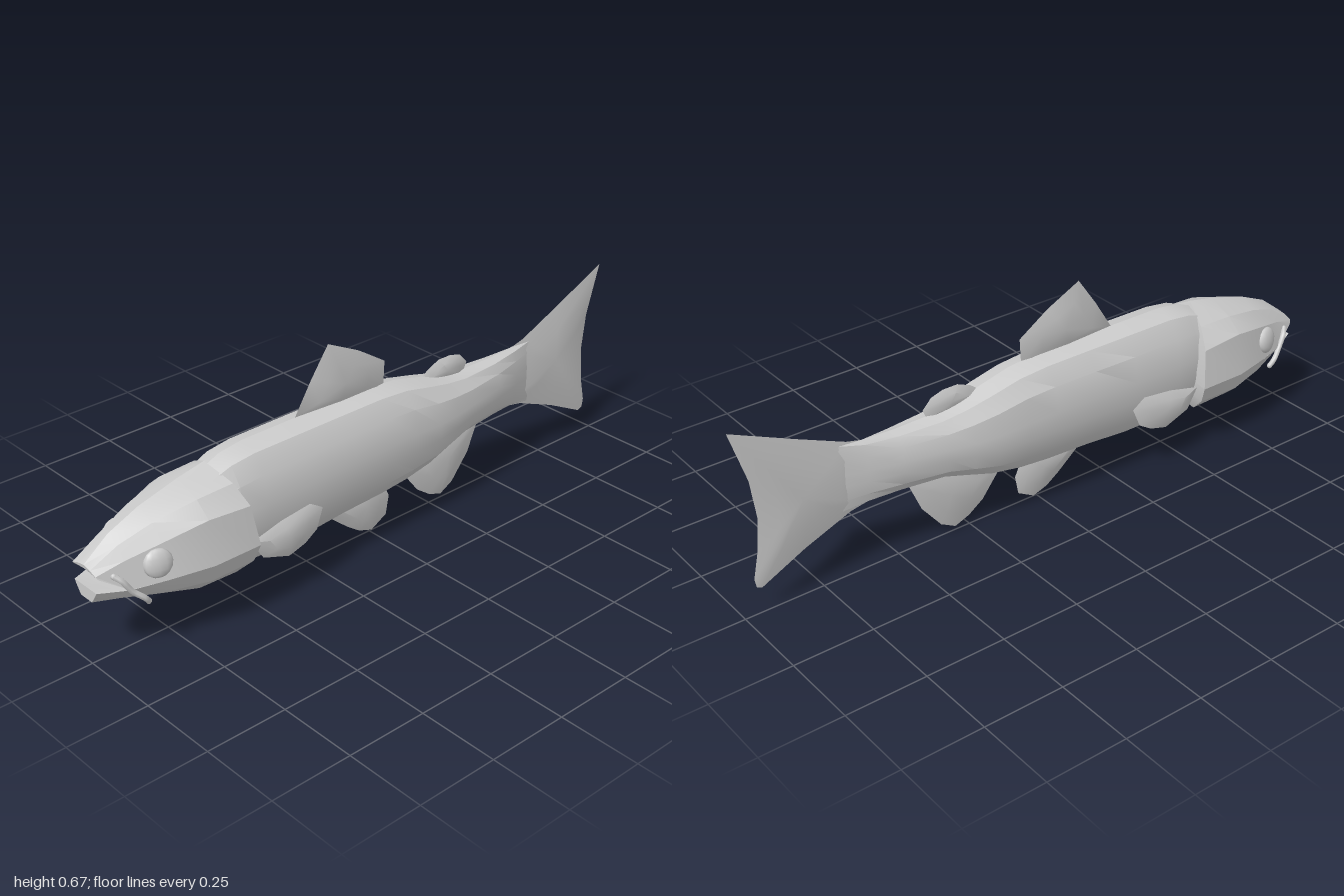
import * as THREE from 'three';
import { toCreasedNormals } from 'three/addons/utils/BufferGeometryUtils.js';

const material = new THREE.MeshStandardMaterial({ color: 0xcccccc });

function part(name, positions, index, crease) {
  const g = new THREE.BufferGeometry();
  g.setAttribute('position', new THREE.Float32BufferAttribute(positions.flat(), 3));
  g.setIndex(index);
  const mesh = new THREE.Mesh(toCreasedNormals(g, crease), material);
  mesh.name = name;
  return mesh;
}

// Closed skin over half rings (top centre -> +x side -> bottom centre), ordered rear to front
function loft(name, halfRings, crease) {
  const rings = halfRings.map(h => [...h, ...h.slice(1, -1).reverse().map(([x, y, z]) => [-x, y, z])]);
  const n = rings[0].length, positions = rings.flat(), index = [];
  for (let r = 0; r < rings.length - 1; r++) {
    for (let i = 0; i < n; i++) {
      const a = r * n + i, b = r * n + (i + 1) % n;
      index.push(a, a + n, b, b, a + n, b + n);
    }
  }
  // End caps
  [0, rings.length - 1].forEach((r, end) => {
    const c = positions.length;
    positions.push([0, 1, 2].map(k => rings[r].reduce((s, p) => s + p[k], 0) / n));
    for (let i = 0; i < n; i++) {
      const a = r * n + i, b = r * n + (i + 1) % n;
      index.push(c, end ? b : a, end ? a : b);
    }
  });
  return part(name, positions, index, crease);
}

// Lens-shaped fin from a [z, y] outline: sharp rim, thicker middle
function fin(name, outline, thick, centre, offset = () => 0) {
  const area = THREE.ShapeUtils.area(outline.map(p => new THREE.Vector2(...p)));
  const pts = area > 0 ? outline : [...outline].reverse();
  const n = pts.length, positions = [], index = [];
  const [cz, cy] = centre;
  for (const side of [1, -1]) {
    const o = positions.length;
    const add = (z, y, t) => positions.push([side * t + offset(y), y, z]);
    pts.forEach(([z, y]) => add(z, y, 0));
    pts.forEach(([z, y]) => add(cz + (z - cz) * 0.55, cy + (y - cy) * 0.55, thick * 0.85));
    add(cz, cy, thick);
    const tri = (a, b, c) => index.push(o + a, o + (side > 0 ? c : b), o + (side > 0 ? b : c));
    for (let i = 0; i < n; i++) {
      const j = (i + 1) % n;
      tri(i, j, n + i);
      tri(j, n + j, n + i);
      tri(2 * n, n + i, n + j);
    }
  }
  return part(name, positions, index, 0.5);
}

export function createModel() {
  const fish = new THREE.Group();
  fish.name = 'fish';

  // Body: [z, bottom, top, half width]
  const section = [[0, 1], [0.52, 0.9], [0.86, 0.6], [1, 0.15], [1, -0.2], [0.86, -0.6], [0.52, -0.89], [0, -1]];
  const stations = [
    [-0.69, 0.21, 0.435, 0.003], [-0.6, 0.222, 0.425, 0.027], [-0.5, 0.226, 0.42, 0.052],
    [-0.36, 0.22, 0.422, 0.077], [-0.28, 0.196, 0.436, 0.09], [-0.2, 0.17, 0.456, 0.1],
    [-0.1, 0.15, 0.48, 0.103], [0, 0.141, 0.489, 0.106], [0.15, 0.135, 0.49, 0.108],
    [0.3, 0.122, 0.49, 0.108], [0.47, 0.121, 0.489, 0.107], [0.55, 0.127, 0.478, 0.104],
    [0.64, 0.15, 0.44, 0.09],
  ];
  fish.add(loft('body', stations.map(([z, lo, hi, w]) =>
    section.map(([u, v]) => [u * w, (lo + hi) / 2 + v * (hi - lo) / 2, z])), 0.42));

  // Upper head, from the gill edge to the upper lip
  fish.add(loft('upperHead', [
    [[0, 0.473, 0.6], [0.085, 0.428, 0.57], [0.132, 0.37, 0.55], [0.152, 0.25, 0.535], [0, 0.25, 0.56]],
    [[0, 0.455, 0.69], [0.083, 0.424, 0.69], [0.132, 0.382, 0.69], [0.152, 0.25, 0.69], [0, 0.25, 0.69]],
    [[0, 0.42, 0.82], [0.06, 0.396, 0.82], [0.1, 0.352, 0.82], [0.121, 0.248, 0.82], [0, 0.248, 0.82]],
    [[0, 0.377, 0.92], [0.042, 0.36, 0.92], [0.069, 0.325, 0.92], [0.087, 0.245, 0.92], [0, 0.247, 0.92]],
    [[0, 0.316, 1], [0.028, 0.311, 1], [0.052, 0.302, 1], [0.058, 0.294, 0.995], [0, 0.303, 0.995]],
  ], 0.35));

  // Lower jaw and throat
  fish.add(loft('lowerJaw', [
    [[0, 0.25, 0.56], [0.152, 0.25, 0.535], [0.131, 0.195, 0.545], [0.075, 0.14, 0.565], [0, 0.118, 0.6]],
    [[0, 0.25, 0.69], [0.152, 0.25, 0.69], [0.13, 0.192, 0.69], [0.073, 0.142, 0.69], [0, 0.127, 0.69]],
    [[0, 0.247, 0.82], [0.121, 0.248, 0.82], [0.096, 0.197, 0.82], [0.054, 0.172, 0.82], [0, 0.167, 0.82]],
    [[0, 0.235, 0.92], [0.086, 0.243, 0.92], [0.064, 0.212, 0.92], [0.036, 0.195, 0.92], [0, 0.193, 0.92]],
    [[0, 0.25, 1], [0.05, 0.25, 1], [0.039, 0.232, 1], [0.025, 0.212, 1], [0, 0.212, 1]],
  ], 0.35));

  for (const s of [1, -1]) {
    const side = s > 0 ? 'left' : 'right';

    // Eye
    const eye = new THREE.Mesh(new THREE.SphereGeometry(0.042, 12, 8), material);
    eye.name = side + 'Eye';
    eye.scale.x = 0.4;
    eye.position.set(s * 0.105, 0.302, 0.84);
    eye.rotation.set(0, -s * 0.28, s * 0.15);
    fish.add(eye);

    // Curved lip plate hanging past the corner of the mouth
    const path = new THREE.CatmullRomCurve3([
      [0.068, 0.292, 0.955], [0.082, 0.278, 0.94], [0.09, 0.24, 0.915], [0.101, 0.212, 0.885], [0.097, 0.195, 0.872],
    ].map(([x, y, z]) => new THREE.Vector3(s * x, y, z)));
    const lip = new THREE.Mesh(new THREE.TubeGeometry(path, 10, 0.009, 6), material);
    lip.name = side + 'LipPlate';
    fish.add(lip);
    for (const t of [0, 1]) {
      const tip = new THREE.Mesh(new THREE.SphereGeometry(0.009, 6, 5), material);
      tip.name = side + 'LipPlateEnd';
      tip.position.copy(path.getPoint(t));
      fish.add(tip);
    }

    // Pectoral fin, lying along the flank
    fish.add(fin(side + 'PectoralFin', [
      [0.54, 0.24], [0.43, 0.266], [0.325, 0.278], [0.28, 0.25], [0.305, 0.19], [0.35, 0.163], [0.41, 0.147], [0.5, 0.178],
    ], 0.014, [0.41, 0.215], y => s * (0.119 - (y - 0.147) * 0.06)));
  }

  // Fins along the centre line
  fish.add(fin('dorsalFin', [
    [0.28, 0.49], [0.22, 0.585], [0.155, 0.676], [0.04, 0.62], [-0.06, 0.555], [-0.055, 0.47], [0.12, 0.465],
  ], 0.014, [0.1, 0.54]));
  fish.add(fin('adiposeFin', [
    [-0.2, 0.44], [-0.235, 0.467], [-0.28, 0.486], [-0.33, 0.486], [-0.37, 0.474], [-0.4, 0.443], [-0.385, 0.41], [-0.28, 0.41],
  ], 0.014, [-0.31, 0.445]));
  fish.add(fin('pelvicFin', [
    [0.19, 0.14], [0.085, 0.053], [0.04, 0.022], [-0.01, 0.005], [-0.068, 0.037], [-0.08, 0.098], [-0.05, 0.165], [0.08, 0.17],
  ], 0.014, [0.02, 0.1]));
  fish.add(fin('analFin', [
    [-0.13, 0.16], [-0.2, 0.07], [-0.25, 0.035], [-0.3, 0.016], [-0.35, 0.043], [-0.415, 0.123], [-0.455, 0.214], [-0.44, 0.24], [-0.28, 0.23],
  ], 0.014, [-0.32, 0.14]));
  fish.add(fin('tailFin', [
    [-0.58, 0.42], [-0.65, 0.437], [-0.8, 0.502], [-1, 0.592], [-0.95, 0.43], [-0.935, 0.31], [-0.945, 0.2],
    [-0.962, 0.12], [-0.957, 0.093], [-0.94, 0.085], [-0.8, 0.153], [-0.65, 0.212], [-0.58, 0.225],
  ], 0.013, [-0.8, 0.32]));

  return fish;
}
